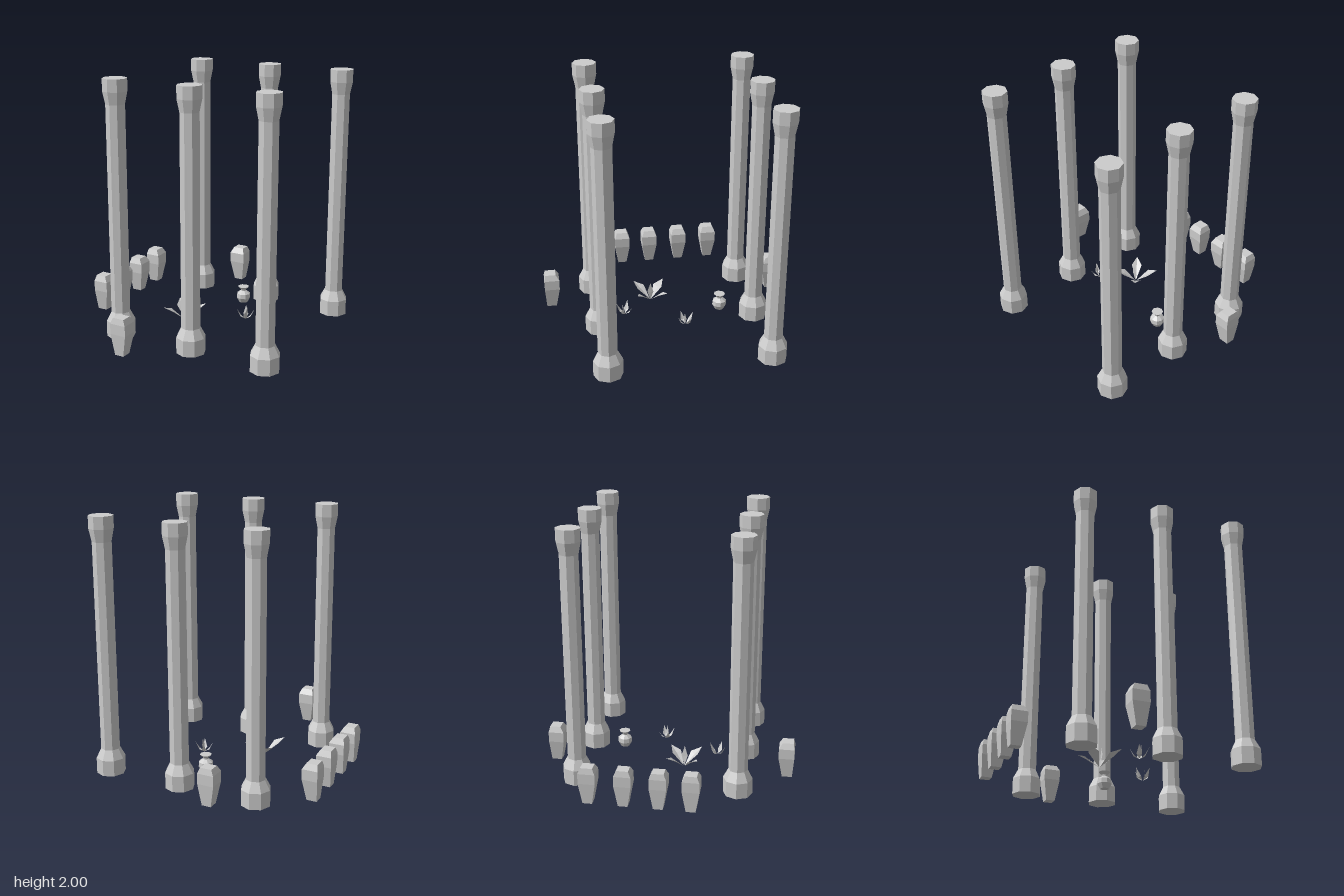
import * as THREE from 'three';

const stone = new THREE.MeshStandardMaterial({ color: 0xcccccc, flatShading: true });
const leafMat = new THREE.MeshStandardMaterial({ color: 0xcccccc, flatShading: true, side: THREE.DoubleSide });

// Faceted solid of revolution with closed ends
function turned(name, profile) {
  const pts = profile.map(([r, y]) => new THREE.Vector2(r, y));
  const mesh = new THREE.Mesh(new THREE.LatheGeometry(pts, 8), stone);
  mesh.name = name;
  return mesh;
}

// Flat-faced geometry from a list of triangles
function fromTriangles(tris) {
  const g = new THREE.BufferGeometry();
  g.setAttribute('position', new THREE.Float32BufferAttribute(tris.flat(2), 3));
  g.computeVertexNormals();
  return g;
}

// Upright coffin facing +z, lofted through rectangular sections [halfWidth, back, front, y]
function coffinGeometry() {
  const rings = [
    [0.036, -0.048, 0.03, 0.04],
    [0.064, -0.06, 0.06, 0.205],
    [0.064, -0.06, 0.06, 0.285],
    [0.045, -0.05, 0.033, 0.33],
  ].map(([w, b, f, y]) => [[-w, y, f], [w, y, f], [w, y, b], [-w, y, b]]);
  const tris = [];
  const quad = (a, b, c, d) => tris.push([a, b, c], [a, c, d]);
  for (let k = 0; k < rings.length - 1; k++) {
    for (let i = 0; i < 4; i++) {
      const j = (i + 1) % 4;
      quad(rings[k][i], rings[k][j], rings[k + 1][j], rings[k + 1][i]);
    }
  }
  quad(...rings[rings.length - 1]);
  quad(...[...rings[0]].reverse());
  return fromTriangles(tris);
}

// Folded spear-shaped leaf growing out along +z: reach and height of its middle and tip
function leaf(halfWidth, midZ, midY, tipZ, tipY, angle) {
  const base = [0, 0, 0.005], rib = [0, midY - halfWidth * 0.35, midZ], tip = [0, tipY, tipZ];
  const l = [-halfWidth, midY, midZ], r = [halfWidth, midY, midZ];
  const mesh = new THREE.Mesh(
    fromTriangles([[base, r, rib], [base, rib, l], [rib, r, tip], [rib, tip, l]]), leafMat);
  mesh.rotation.y = angle;
  mesh.name = 'leaf';
  return mesh;
}

// Four spreading leaves and one small upright leaf
function plant(name, x, y, z, turn, [w, midZ, midY, tipZ, tipY], upright) {
  const g = new THREE.Group();
  g.name = name;
  for (let i = 0; i < 4; i++) {
    g.add(leaf(w, midZ, midY, tipZ, tipY, turn + i * Math.PI / 2));
  }
  g.add(leaf(w * 0.6, 0.015, upright * 0.5, 0.02, upright, turn + 0.7));
  g.position.set(x, y, z);
  return g;
}

export function createModel() {
  const model = new THREE.Group();
  model.name = 'colonnade';

  // Two rows of three columns
  for (const x of [-0.47, 0.16, 0.775]) {
    for (const z of [-0.69, 0.555]) {
      const column = turned('column', [
        [0, 0], [0.112, 0], [0.112, 0.125], [0.073, 0.2],
        [0.073, 1.81], [0.093, 1.905], [0.093, 2], [0, 2],
      ]);
      column.position.set(x, 0, z);
      model.add(column);
    }
  }

  // Coffins: a row on one side and one at each end, all facing inwards
  const coffinGeo = coffinGeometry();
  const places = [-0.51, -0.245, 0.015, 0.255].map((z) => [-0.835, z, Math.PI / 2]);
  places.push([-0.21, -0.91, 0], [-0.21, 0.905, Math.PI]);
  for (const [x, z, turn] of places) {
    const coffin = new THREE.Mesh(coffinGeo, stone);
    coffin.name = 'coffin';
    coffin.position.set(x, 0, z);
    coffin.rotation.y = turn;
    model.add(coffin);
  }

  // Pot with a flared rim
  const pot = turned('pot', [
    [0, 0.04], [0.035, 0.04], [0.058, 0.08], [0.055, 0.115],
    [0.022, 0.14], [0.024, 0.152], [0.046, 0.175], [0, 0.175],
  ]);
  pot.position.set(0.08, 0, -0.43);
  model.add(pot);

  // Plants
  model.add(plant('largePlant', -0.168, 0.025, 0.1, Math.PI / 4, [0.042, 0.1, 0.085, 0.175, 0.115], 0.165));
  const small = [0.02, 0.04, 0.025, 0.072, 0.085];
  model.add(plant('smallPlant', 0.265, 0.04, -0.117, 0.43, small, 0.105));
  model.add(plant('smallPlant', 0.042, 0.04, 0.34, -0.42, small, 0.105));

  return model;
}
